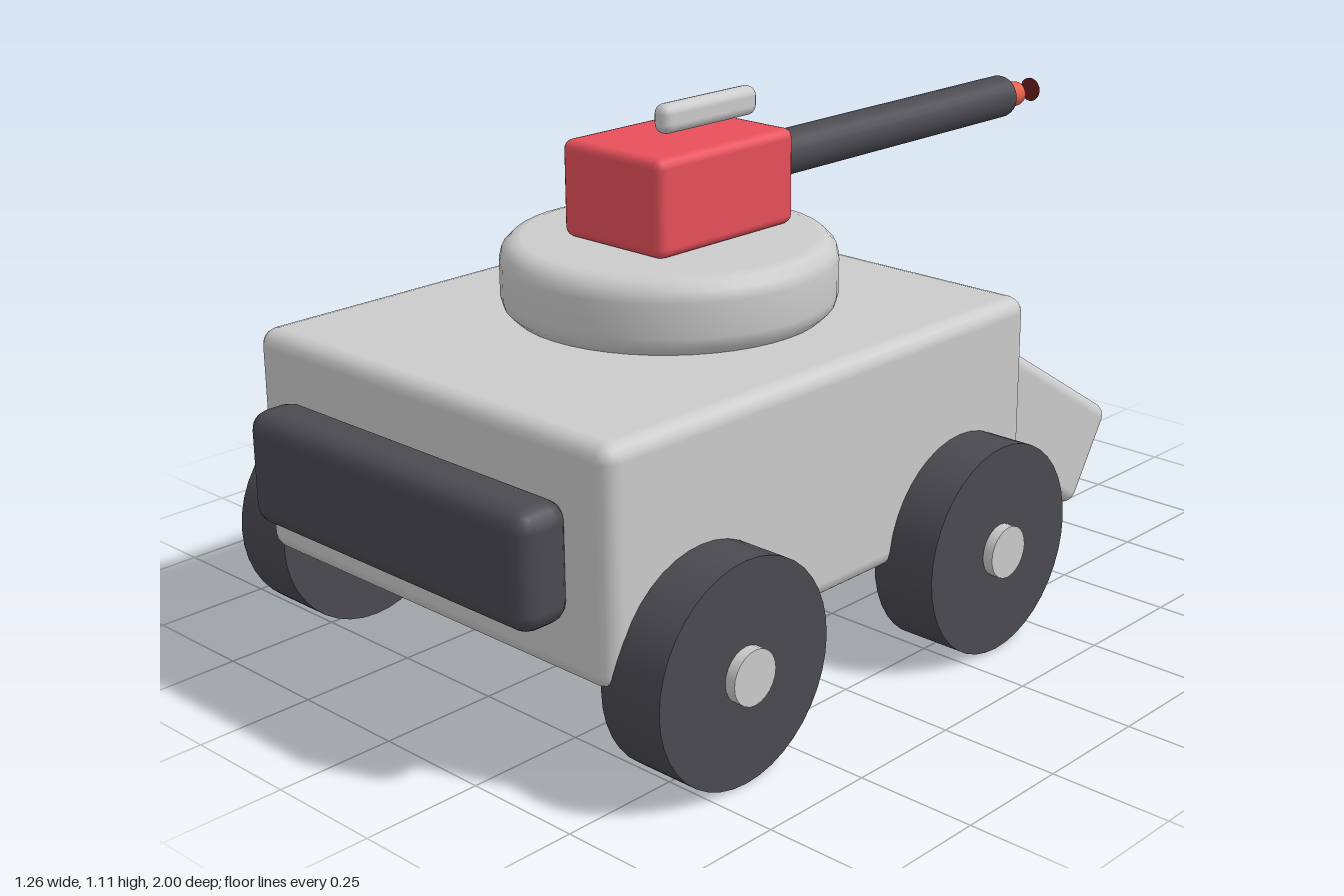
import * as THREE from 'three';
import { RoundedBoxGeometry } from 'three/addons/geometries/RoundedBoxGeometry.js';

const material = (color) => new THREE.MeshStandardMaterial({ color });
const grey = material(0xcccccc);
const dark = material(0x4a4a50);
const red = material(0xe8505b);
const orange = material(0xe8604c);
const maroon = material(0x6b1f1f);
maroon.side = THREE.DoubleSide;

export function createModel() {
  const model = new THREE.Group();
  model.name = 'turretVehicle';

  function add(name, geometry, mat, x, y, z, parent = model) {
    const mesh = new THREE.Mesh(geometry, mat);
    mesh.name = name;
    mesh.position.set(x, y, z);
    parent.add(mesh);
    return mesh;
  }
  const box = (w, h, d, r) => new RoundedBoxGeometry(w, h, d, 2, r);

  // Cylinder along y, centred, with rounded rims
  function roundedCylinder(radius, height, bevel, sides, steps = 3) {
    const h = height / 2;
    const points = [new THREE.Vector2(0, -h)];
    for (const end of [-1, 1]) {
      for (let i = 0; i <= steps; i++) {
        const a = ((end < 0 ? i - steps : i) / steps) * Math.PI / 2;
        points.push(new THREE.Vector2(
          radius - bevel + bevel * Math.cos(a),
          end * (h - bevel) + bevel * Math.sin(a)
        ));
      }
    }
    points.push(new THREE.Vector2(0, h));
    return new THREE.LatheGeometry(points, sides);
  }

  // Hull, front bumper and sloping rear plate
  add('hull', box(1.0, 0.47, 1.21, 0.035), grey, 0, 0.455, 0.285);
  add('frontBumper', box(0.8, 0.235, 0.12, 0.04), dark, 0, 0.453, 0.94);
  const rearPlate = add('rearPlate', box(0.955, 0.235, 0.5, 0.03), grey, 0, 0.37, -0.41);
  rearPlate.rotation.x = -THREE.MathUtils.degToRad(32);

  // Four wheels, each with a hub passing through
  const tyre = new THREE.CylinderGeometry(0.222, 0.222, 0.145, 40).rotateZ(Math.PI / 2);
  const hub = new THREE.CylinderGeometry(0.055, 0.055, 0.19, 24).rotateZ(Math.PI / 2);
  for (const side of [-1, 1]) {
    for (const [end, z] of [['front', 0.66], ['rear', -0.1]]) {
      const wheel = new THREE.Group();
      wheel.name = end + (side > 0 ? 'Left' : 'Right') + 'Wheel';
      wheel.position.set(side * 0.536, 0.223, z);
      add('tyre', tyre, dark, 0, 0, 0, wheel);
      add('hub', hub, grey, 0, 0, 0, wheel);
      model.add(wheel);
    }
  }

  // Turret ring, gun housing and top handle
  add('turretBase', roundedCylinder(0.344, 0.16, 0.045, 48), grey, 0, 0.763, 0.228);
  add('gunHousing', box(0.278, 0.2, 0.39, 0.02), red, 0, 0.943, 0.197);
  add('topHandle', box(0.044, 0.062, 0.275, 0.021), grey, 0, 1.079, 0.118);

  // Barrel pointing rearward, with nozzle and thin muzzle disc
  const alongZ = (g) => g.rotateX(Math.PI / 2);
  add('barrel', alongZ(roundedCylinder(0.049, 0.89, 0.015, 24)), dark, 0, 0.948, -0.445);
  add('nozzle', alongZ(roundedCylinder(0.029, 0.1, 0.012, 20)), orange, 0, 0.945, -0.9);
  add('muzzleDisc', new THREE.CircleGeometry(0.028, 20).rotateY(Math.PI), maroon, 0, 0.945, -1.0);

  return model;
}
